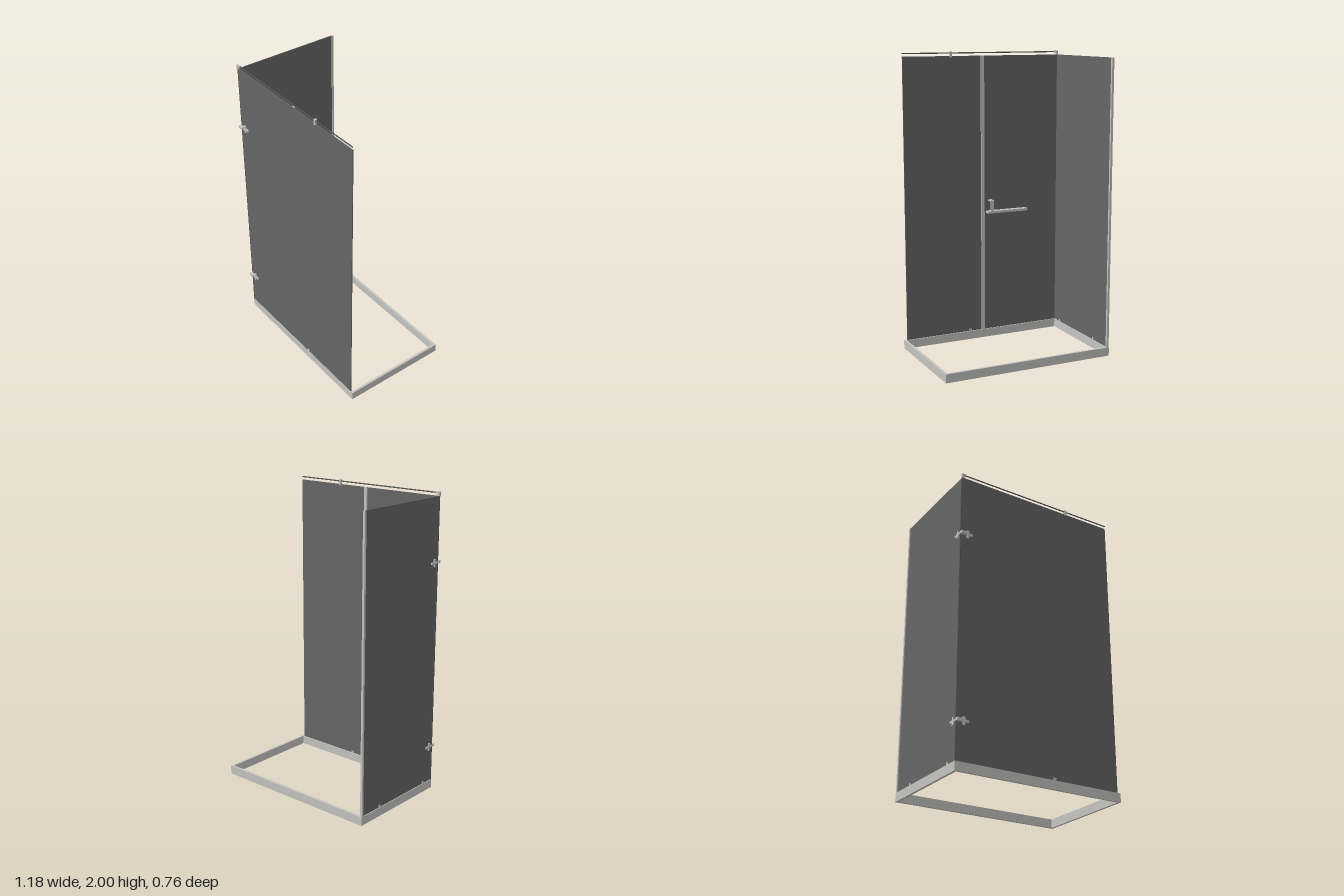
import * as THREE from 'three';

export function createModel() {
  const model = new THREE.Group();
  const glass = new THREE.MeshStandardMaterial({ color: 0x666666 });
  glass.name = 'smoked glass';
  const metal = new THREE.MeshStandardMaterial({ color: 0xc4c4c0 });
  metal.name = 'satin metal';
  const seal = new THREE.MeshStandardMaterial({ color: 0x555555 });
  seal.name = 'dark seal';

  // Box given by its minimum and maximum on each axis
  const box = (name, mat, [x0, x1], [y0, y1], [z0, z1], parent = model) => {
    const m = new THREE.Mesh(new THREE.BoxGeometry(x1 - x0, y1 - y0, z1 - z0), mat);
    m.position.set((x0 + x1) / 2, (y0 + y1) / 2, (z0 + z1) / 2);
    m.name = name;
    parent.add(m);
    return m;
  };
  const extrude = (name, shape, depth, mat, parent = model) => {
    const g = new THREE.ExtrudeGeometry(shape, { depth, bevelEnabled: false, curveSegments: 16 });
    const m = new THREE.Mesh(g, mat);
    m.name = name;
    parent.add(m);
    return m;
  };
  const rect = (Type, x0, x1, y0, y1) => {
    const p = new Type();
    p.moveTo(x0, y0);
    p.lineTo(x1, y0);
    p.lineTo(x1, y1);
    p.lineTo(x0, y1);
    p.closePath();
    return p;
  };

  // Open rectangular floor curb
  const curb = rect(THREE.Shape, -0.588, 0.588, -0.358, 0.382);
  curb.holes.push(rect(THREE.Path, -0.572, 0.572, -0.343, 0.365));
  extrude('floorCurb', curb, 0.058, metal).rotation.x = -Math.PI / 2;

  // Glass walls: door and fixed pane in front, one return pane
  const H = [0.058, 1.97];
  box('doorPane', glass, [-0.583, -0.002], H, [0.35, 0.356]);
  box('fixedPane', glass, [-0.002, 0.567], H, [0.35, 0.356]);
  box('returnPane', glass, [-0.583, -0.577], H, [-0.366, 0.35]);

  // Upright profiles
  box('wallProfile', metal, [-0.588, -0.573], H, [-0.378, -0.364]);
  box('doorStrip', metal, [-0.014, 0.01], H, [0.342, 0.35]);
  box('cornerSeal', seal, [-0.586, -0.583], H, [0.348, 0.357]);

  // Top stabilising rail with its clamps
  const rail = new THREE.Mesh(new THREE.CylinderGeometry(0.004, 0.004, 1.145, 12), seal);
  rail.rotation.z = Math.PI / 2;
  rail.position.set(-0.006, 1.99, 0.356);
  rail.name = 'topRail';
  model.add(rail);
  box('railClamp', metal, [0.217, 0.233], [1.962, 2], [0.349, 0.363]);
  box('railEndClamp', metal, [-0.585, -0.572], [1.965, 1.997], [0.349, 0.364]);
  box('railEndSocket', metal, [-0.572, -0.555], [1.983, 1.997], [0.349, 0.363]);

  // Small clips at the foot of the panes
  box('paneClip', metal, [0.087, 0.103], [0.058, 0.074], [0.346, 0.36]);
  for (const z of [0.265, -0.197]) {
    box('paneClip', metal, [-0.587, -0.573], [0.058, 0.074], [z - 0.008, z + 0.008]);
  }

  // Corner hinges: cross plates on the door and return pane, joined by a knuckle
  const cross = new THREE.Shape();
  const a = 0.007, v = 0.025, w = 0.033;
  [[-w, -a], [-a, -a], [-a, -v], [a, -v], [a, -a], [w, -a],
    [w, a], [a, a], [a, v], [-a, v], [-a, a], [-w, a]]
    .forEach(([x, y], i) => (i ? cross.lineTo(x, y) : cross.moveTo(x, y)));
  cross.closePath();
  for (const y of [1.553, 0.305]) {
    const hinge = new THREE.Group();
    hinge.name = 'hinge';
    hinge.position.y = y;
    const front = extrude('frontHingePlate', cross, 0.01, metal, hinge);
    front.position.set(-0.535, 0, 0.356);
    const side = extrude('sideHingePlate', cross, 0.006, metal, hinge);
    side.rotation.y = -Math.PI / 2;
    side.position.set(-0.583, 0, 0.32);
    const disc = new THREE.Mesh(new THREE.CylinderGeometry(0.014, 0.014, 0.012, 20), metal);
    disc.rotation.x = Math.PI / 2;
    disc.position.set(-0.535, 0, 0.362);
    disc.name = 'hingeDisc';
    hinge.add(disc);
    box('hingeKnuckle', metal, [-0.589, -0.55], [-0.009, 0.009], [0.356, 0.377], hinge);
    model.add(hinge);
  }

  // Inside handle: upright loop with a flat shelf bar
  const handle = new THREE.Group();
  handle.name = 'doorHandle';
  box('handleUpright', metal, [-0.066, -0.044], [0.9, 0.985], [0.302, 0.312], handle);
  box('handleTop', metal, [-0.066, -0.044], [0.975, 0.985], [0.312, 0.35], handle);
  box('handleBottom', metal, [-0.066, -0.044], [0.895, 0.905], [0.302, 0.35], handle);
  box('shelfBar', metal, [-0.33, -0.028], [0.892, 0.908], [0.31, 0.35], handle);
  model.add(handle);

  return model;
}
